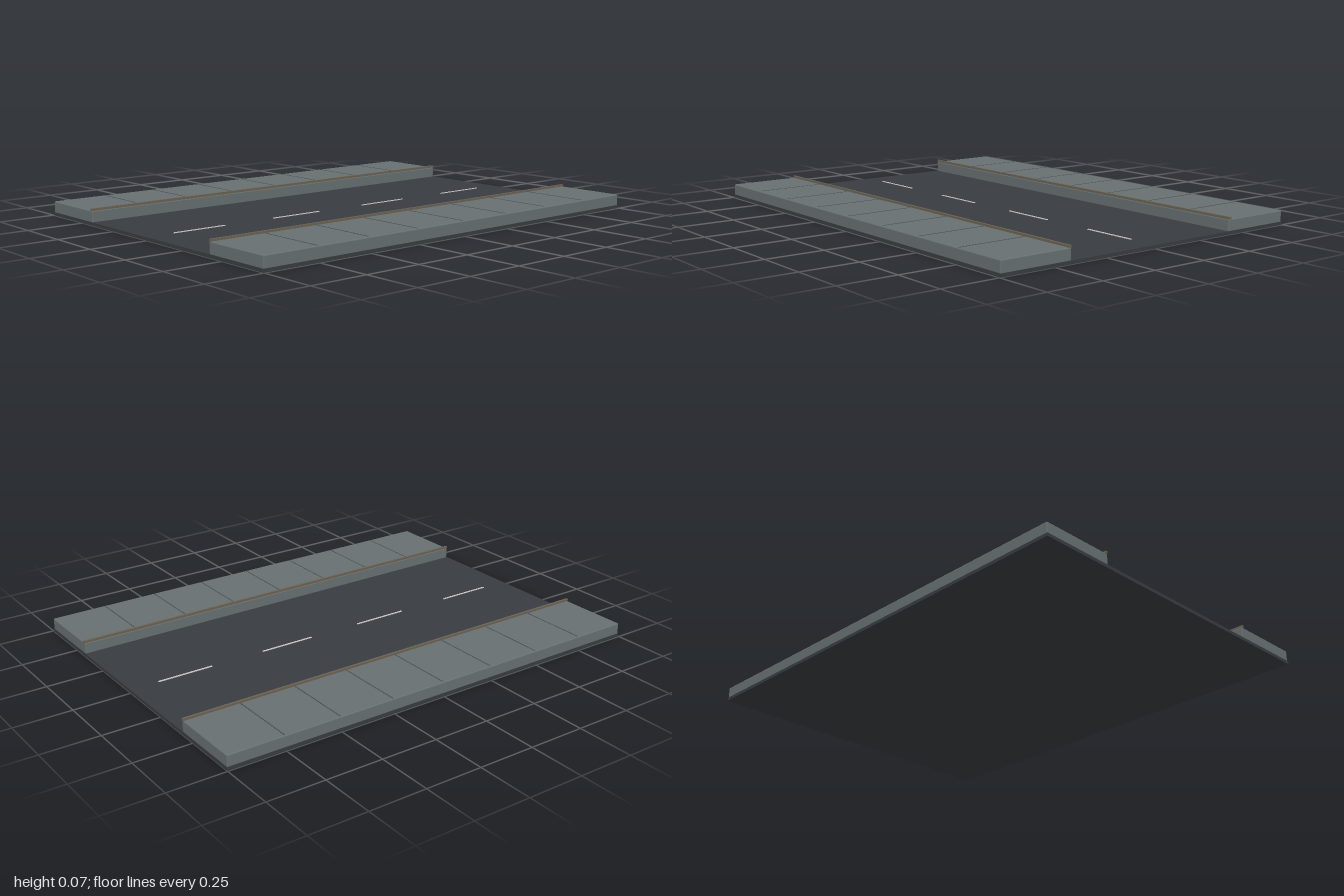
import * as THREE from 'three';
import { RoundedBoxGeometry } from 'three/addons/geometries/RoundedBoxGeometry.js';

const mat = (color) => new THREE.MeshStandardMaterial({ color });
const asphalt = mat(0x383d41);
const concrete = mat(0x677072);
const seamGrey = mat(0x4a5254);
const trimBrown = mat(0x6b6252);
const paint = mat(0xc8cccc);

function add(parent, name, geometry, material, x, y, z) {
  const mesh = new THREE.Mesh(geometry, material);
  mesh.name = name;
  mesh.position.set(x, y, z);
  parent.add(mesh);
  return mesh;
}

export function createModel() {
  const model = new THREE.Group();
  model.name = 'streetSection';

  // Road slab spanning the full width
  add(model, 'roadSlab', new THREE.BoxGeometry(2, 0.014, 1.49), asphalt, 0, 0.007, 0);

  // Dashed centre line
  const dash = new THREE.BoxGeometry(0.25, 0.004, 0.007);
  for (let i = 0; i < 4; i++) {
    add(model, 'laneDash', dash, paint, -0.75 + i * 0.5, 0.015, 0);
  }

  // Raised pavements on both sides, with softened edges
  const slab = new RoundedBoxGeometry(1.996, 0.052, 0.325, 2, 0.005);
  const seam = new THREE.BoxGeometry(0.005, 0.003, 0.305);
  const trim = new THREE.BoxGeometry(2, 0.01, 0.01);
  for (const side of [1, -1]) {
    const pavement = new THREE.Group();
    pavement.name = side > 0 ? 'frontPavement' : 'backPavement';
    add(pavement, 'pavementSlab', slab, concrete, 0, 0.036, side * 0.5815);

    // Paving joints
    for (let i = 1; i < 8; i++) {
      add(pavement, 'pavingJoint', seam, seamGrey, -1 + i * 0.25, 0.0615, side * 0.585);
    }

    // Kerb edge strip
    add(pavement, 'kerbTrim', trim, trimBrown, 0, 0.066, side * 0.426);
    model.add(pavement);
  }
  return model;
}
